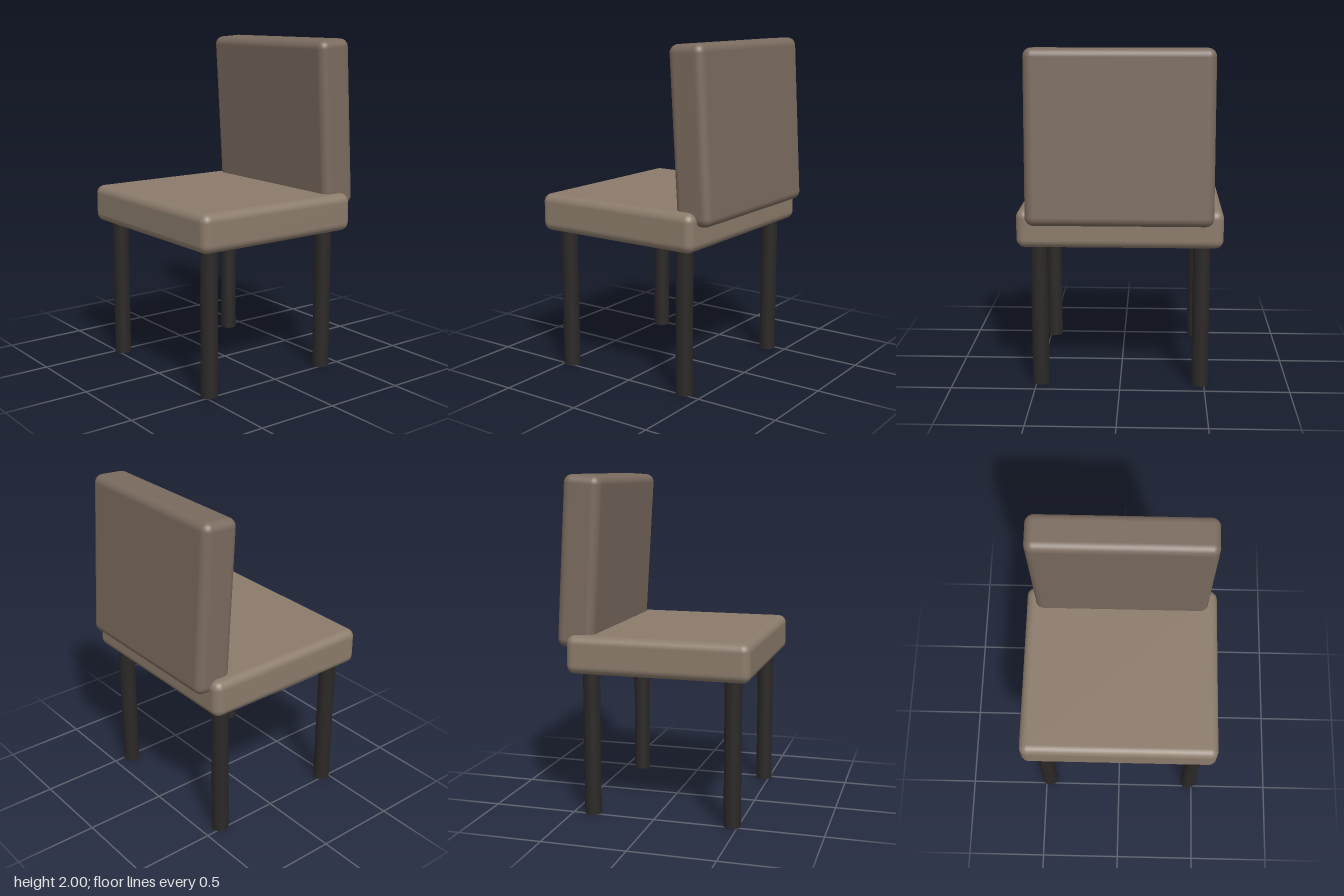
import * as THREE from 'three';
import { RoundedBoxGeometry } from 'three/addons/geometries/RoundedBoxGeometry.js';

const material = (color) => new THREE.MeshStandardMaterial({ color });

// Soft-edged upholstered block
function cushion(name, size, position, color) {
  const mesh = new THREE.Mesh(new RoundedBoxGeometry(...size, 5, 0.05), material(color));
  mesh.name = name;
  mesh.position.set(...position);
  return mesh;
}

export function createModel() {
  const chair = new THREE.Group();
  chair.name = 'chair';

  // Seat cushion
  chair.add(cushion('seat', [1.19, 0.225, 1.085], [0, 0.972, 0.038], 0x8b7b6b));

  // Backrest, tipped slightly forward at the top
  const back = cushion('backrest', [1.07, 0.997, 0.226], [0, 1.498, -0.442], 0x7a6a5e);
  back.rotation.x = 0.06;
  chair.add(back);

  // Four round legs
  const legHeight = 0.87;
  const legGeometry = new THREE.CylinderGeometry(0.05, 0.05, legHeight, 24);
  const legMaterial = material(0x2b2826);
  for (const [sideName, x] of [['Left', 0.475], ['Right', -0.475]]) {
    for (const [endName, z] of [['front', 0.465], ['back', -0.385]]) {
      const leg = new THREE.Mesh(legGeometry, legMaterial);
      leg.name = `${endName}${sideName}Leg`;
      leg.position.set(x, legHeight / 2, z);
      chair.add(leg);
    }
  }
  return chair;
}
